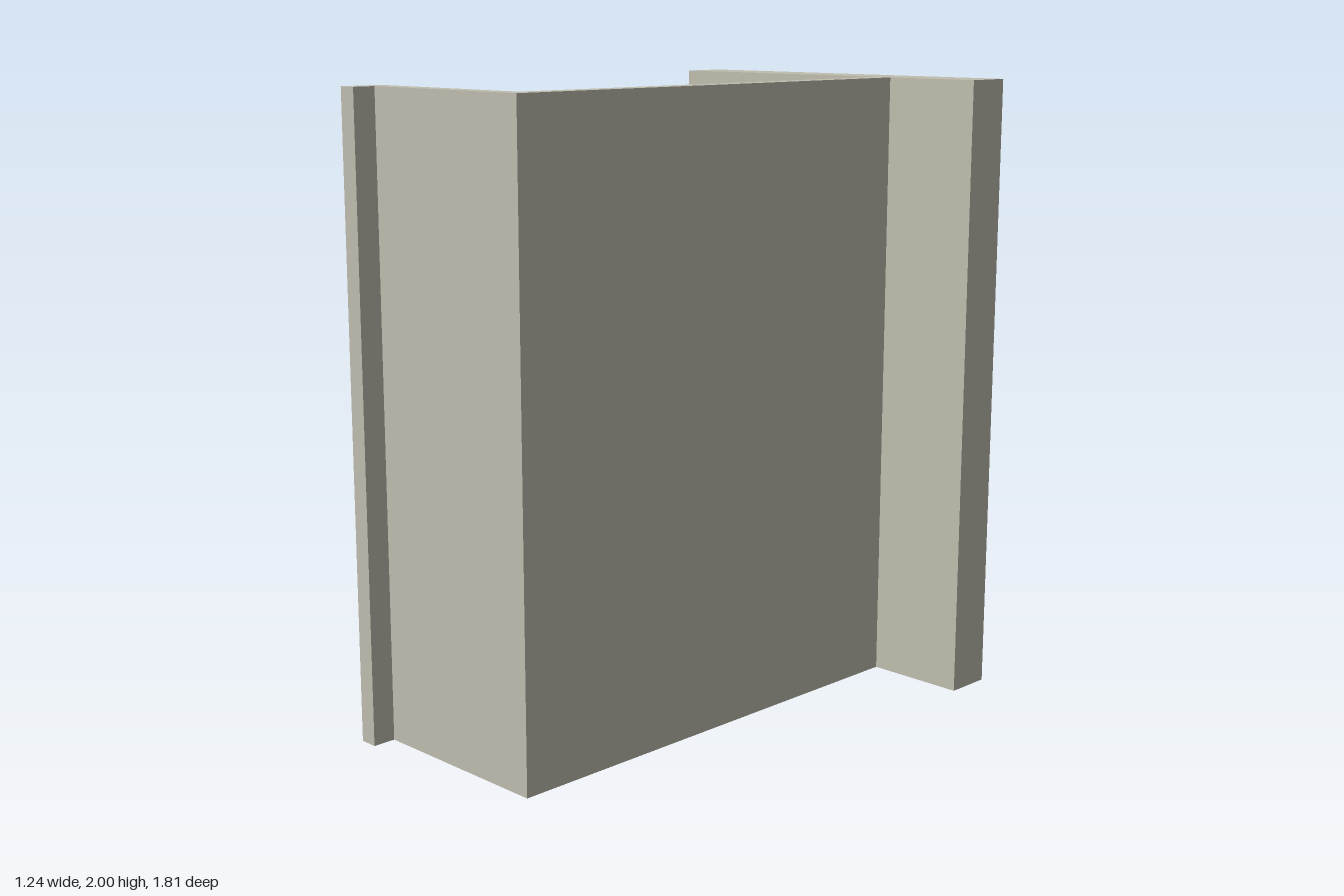
import * as THREE from 'three';

const HEIGHT = 2;

export function createModel() {
  const group = new THREE.Group();
  group.name = 'extrudedBeam';
  const stone = new THREE.MeshStandardMaterial({ color: 0xc0bdaf });
  stone.name = 'warm grey';

  // Cross-section as [x, z]: thick back flange, web, thin front flange, small lip
  const outline = [
    [-0.62, -0.905], [0.62, -0.905], [0.62, -0.75], [0.29, -0.75],
    [0.29, 0.83], [-0.34, 0.83], [-0.34, 0.905], [-0.4, 0.905],
    [-0.4, 0.765], [0.225, 0.765], [0.225, -0.75], [-0.62, -0.75],
  ];
  const section = new THREE.Shape(outline.map(([x, z]) => new THREE.Vector2(x, -z)));

  // Extrude along the beam's length, then stand it upright
  const geometry = new THREE.ExtrudeGeometry(section, { depth: HEIGHT, bevelEnabled: false });
  geometry.rotateX(-Math.PI / 2);

  const beam = new THREE.Mesh(geometry, stone);
  beam.name = 'beamProfile';
  group.add(beam);
  return group;
}
